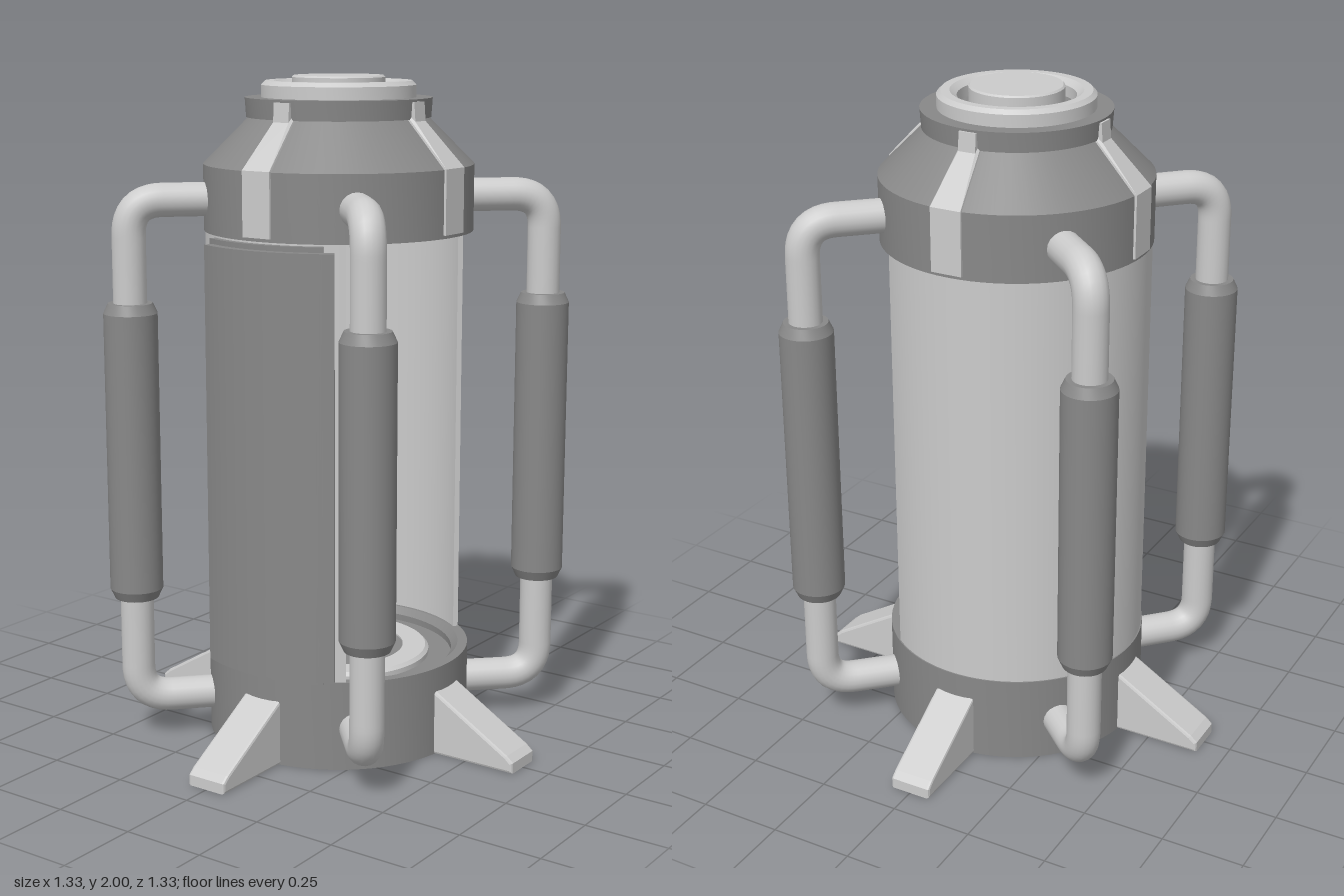
import * as THREE from 'three';
import { toCreasedNormals } from 'three/addons/utils/BufferGeometryUtils.js';

const light = new THREE.MeshStandardMaterial({ color: 0xcccccc });
const dark = new THREE.MeshStandardMaterial({ color: 0x888888 });
const rad = THREE.MathUtils.degToRad;
const vec2 = (points) => points.map(([x, y]) => new THREE.Vector2(x, y));

function add(parent, name, geometry, material) {
  const mesh = new THREE.Mesh(geometry, material);
  mesh.name = name;
  parent.add(mesh);
  return mesh;
}

// Turned solid; the profile runs from the bottom, outwards and up
function turned(points, segments = 72) {
  return toCreasedNormals(new THREE.LatheGeometry(vec2(points), segments), 0.4);
}

// Upright curved panel; angles in degrees from +x towards -z
function curvedPanel(inner, outer, from, to, bottom, top) {
  const shape = new THREE.Shape();
  shape.absarc(0, 0, outer, rad(from), rad(to), false);
  shape.absarc(0, 0, inner, rad(to), rad(from), true);
  shape.closePath();
  const geometry = new THREE.ExtrudeGeometry(shape, {
    depth: top - bottom, bevelEnabled: false, curveSegments: 48,
  });
  geometry.rotateX(-Math.PI / 2).translate(0, bottom, 0);
  return toCreasedNormals(geometry, 0.4);
}

// Side profile (radius, height) extruded to a width, centred on the radial line
function radialSlab(points, width, bevel) {
  const geometry = new THREE.ExtrudeGeometry(new THREE.Shape(vec2(points)), {
    depth: width - 2 * bevel, bevelEnabled: bevel > 0, bevelSize: bevel,
    bevelThickness: bevel, bevelOffset: -bevel, bevelSegments: 2,
  });
  return geometry.translate(0, 0, -width / 2 + bevel);
}

// Rib that narrows as it climbs the shoulder
function ribGeometry() {
  const geometry = radialSlab([
    [0.36, 1.56], [0.404, 1.56], [0.404, 1.747], [0.285, 1.875],
    [0.281, 1.93], [0.22, 1.93], [0.22, 1.875], [0.36, 1.747],
  ], 0.096, 0);
  const p = geometry.attributes.position;
  for (let i = 0; i < p.count; i++) {
    const t = THREE.MathUtils.clamp((p.getY(i) - 1.747) / 0.128, 0, 1);
    p.setZ(i, p.getZ(i) * (1 - 0.44 * t));
  }
  geometry.computeVertexNormals();
  return geometry;
}

// Bent pipe: in at the base, up, and back into the cap
function pipeGeometry(reach) {
  const low = 0.125, high = 1.645, bend = 0.1;
  const v = (x, y) => new THREE.Vector3(x, y, 0);
  const path = new THREE.CurvePath();
  path.add(new THREE.LineCurve3(v(0.34, low), v(reach - bend, low)));
  path.add(new THREE.QuadraticBezierCurve3(v(reach - bend, low), v(reach, low), v(reach, low + bend)));
  path.add(new THREE.LineCurve3(v(reach, low + bend), v(reach, high - bend)));
  path.add(new THREE.QuadraticBezierCurve3(v(reach, high - bend), v(reach, high), v(reach - bend, high)));
  path.add(new THREE.LineCurve3(v(reach - bend, high), v(0.34, high)));
  return new THREE.TubeGeometry(path, 120, 0.05, 20, false);
}

export function createModel() {
  const model = new THREE.Group();
  model.name = 'pod';

  // Base with a stepped floor
  add(model, 'base', turned([
    [0, 0], [0.4, 0], [0.4, 0.27], [0.37, 0.27], [0.35, 0.25], [0.35, 0.23], [0, 0.23],
  ]), dark);
  add(model, 'floorRing', turned([
    [0.2, 0.225], [0.28, 0.225], [0.28, 0.245], [0.27, 0.255], [0.2, 0.255], [0.2, 0.225],
  ]), light);
  add(model, 'floorDisc', turned([[0, 0.225], [0.2, 0.225], [0.2, 0.25], [0, 0.25]]), dark);

  // Open-fronted wall and the two sliding door leaves at its side
  add(model, 'wall', curvedPanel(0.38, 0.396, -38, 218, 0.26, 1.56), light);
  add(model, 'innerDoor', curvedPanel(0.4, 0.42, 153, 209, 0.27, 1.545), dark);
  add(model, 'outerDoor', curvedPanel(0.42, 0.447, 155.5, 213.5, 0.285, 1.53), dark);

  // Cap with shoulder and collar
  add(model, 'cap', turned([
    [0, 1.6], [0.34, 1.6], [0.36, 1.55], [0.4, 1.55], [0.4, 1.745], [0.265, 1.88],
    [0.272, 1.88], [0.276, 1.937], [0, 1.937],
  ]), dark);
  add(model, 'collar', turned([
    [0.17, 1.93], [0.228, 1.93], [0.228, 1.973], [0.216, 1.985], [0.19, 1.985],
    [0.17, 1.97], [0.17, 1.93],
  ]), light);
  add(model, 'lid', turned([[0, 1.92], [0.137, 1.92], [0.137, 1.995], [0.132, 2], [0, 2]]), light);

  // Feet and cap ribs on the four axes
  const foot = radialSlab([
    [0.34, 0], [0.663, 0], [0.663, 0.032], [0.642, 0.05], [0.39, 0.2], [0.34, 0.2],
  ], 0.13, 0.008);
  const rib = ribGeometry();
  for (let i = 0; i < 4; i++) {
    add(model, 'foot', foot, light).rotation.y = i * Math.PI / 2;
    add(model, 'rib', rib, light).rotation.y = i * Math.PI / 2;
  }

  // Handles on the diagonals: [reach, angle in degrees]
  const sleeve = turned([
    [0.045, 0.445], [0.066, 0.445], [0.08, 0.475], [0.08, 1.315], [0.066, 1.345], [0.045, 1.345],
  ], 32);
  for (const [reach, angle] of [[0.63, -46.2], [0.605, 47.6], [0.624, 136.2], [0.615, 222.4]]) {
    const handle = new THREE.Group();
    handle.name = 'handle';
    add(handle, 'handlePipe', pipeGeometry(reach), light);
    add(handle, 'handleSleeve', sleeve, dark).position.x = reach;
    handle.rotation.y = rad(angle);
    model.add(handle);
  }
  return model;
}
